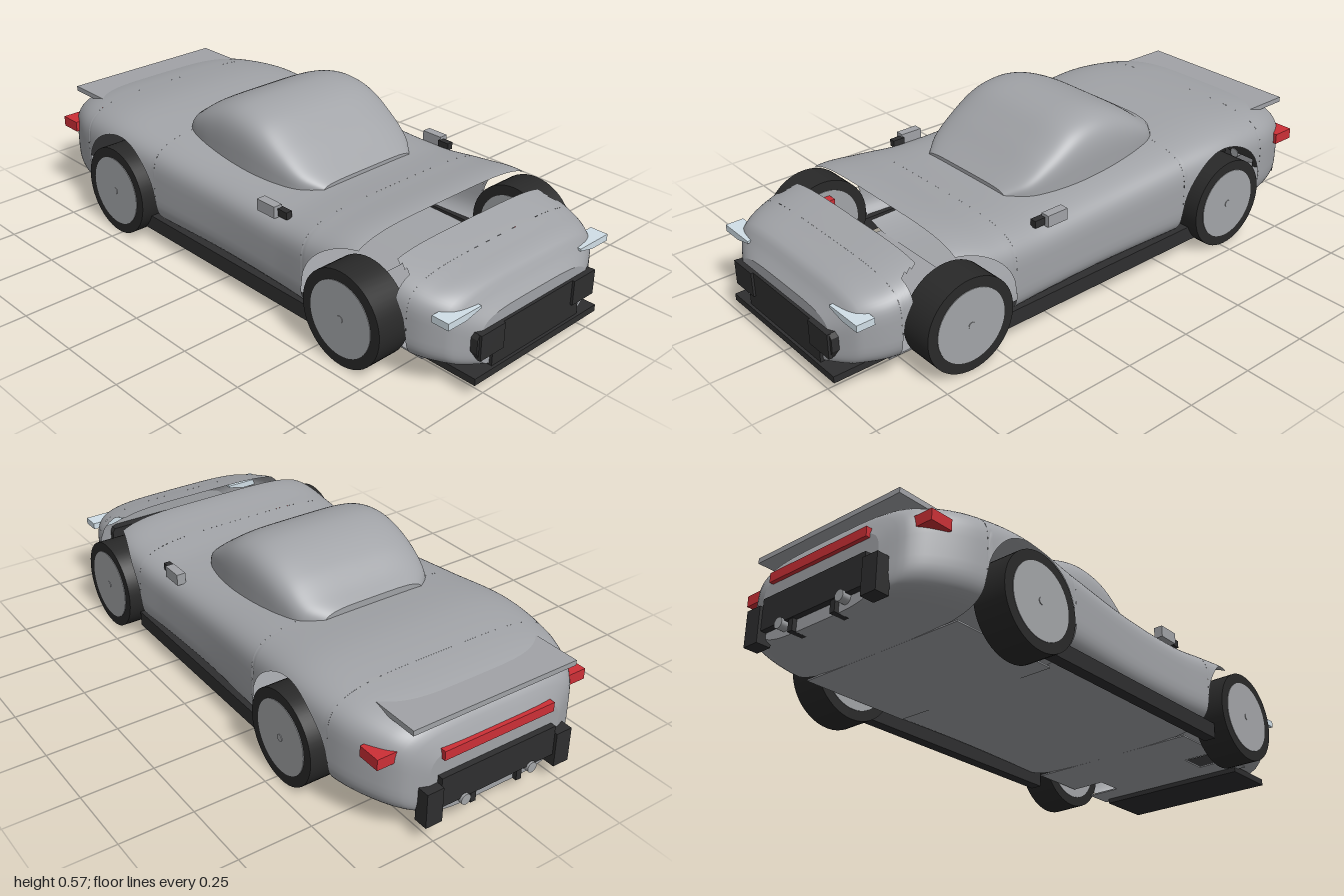
import * as THREE from 'three';

const mat = (name, color, side = THREE.FrontSide) => {
  const m = new THREE.MeshStandardMaterial({ color, side });
  m.name = name;
  return m;
};

// Smooth interpolation through rows of [x, ...values]
function profile(rows) {
  const slope = (i, k) => {
    const a = rows[Math.max(i - 1, 0)], b = rows[Math.min(i + 1, rows.length - 1)];
    return (b[k] - a[k]) / (b[0] - a[0]);
  };
  return (x, k) => {
    let i = 0;
    while (i < rows.length - 2 && x > rows[i + 1][0]) i++;
    const p = rows[i], q = rows[i + 1], d = q[0] - p[0];
    const t = Math.min(Math.max((x - p[0]) / d, 0), 1), t2 = t * t, t3 = t2 * t;
    return p[k] * (2 * t3 - 3 * t2 + 1) + q[k] * (3 * t2 - 2 * t3)
      + d * (slope(i, k) * (t3 - 2 * t2 + t) + slope(i + 1, k) * (t3 - t2));
  };
}

// Rounded-box sections along x; everything below floor(x) is cut away and left open
function loft({ xs, width, top, base, n, floor, skip = () => false }) {
  const N = 44, M = 28, R = N + M, pos = [], idx = [];
  const rings = xs.map((x) => {
    const w = width(x), cy = (top(x) + base(x)) / 2, h = (top(x) - base(x)) / 2;
    const pow = (v) => Math.sign(v) * Math.abs(v) ** (2 / n);
    const rel = THREE.MathUtils.clamp((floor(x) - cy) / h, -1, 1);
    const open = floor(x) > base(x);
    const a0 = open ? Math.sign(rel) * Math.asin(Math.abs(rel) ** (n / 2)) : -0.3;
    const points = Array.from({ length: R }, (_, j) => {
      const a = j <= N ? a0 + (Math.PI - 2 * a0) * j / N
        : Math.PI - a0 + (Math.PI + 2 * a0) * (j - N) / M;
      return [x, cy + h * pow(Math.sin(a)), w * pow(Math.cos(a))];
    });
    return { open, points };
  });
  rings.forEach((r) => r.points.forEach((p) => pos.push(...p)));
  for (let i = 0; i < rings.length - 1; i++) {
    if (xs[i + 1] - xs[i] < 1e-3) continue;
    const sides = rings[i].open || rings[i + 1].open ? N : R;
    for (let j = 0; j < sides; j++) {
      const k = (j + 1) % R, p = rings[i].points[j], q = rings[i].points[k];
      if (skip((xs[i] + xs[i + 1]) / 2, p[1], (p[2] + q[2]) / 2)) continue;
      const a = i * R + j, d = i * R + k, b = a + R, c = d + R;
      idx.push(a, b, c, a, c, d);
    }
  }
  // End caps with their own vertices, so the rim stays crisp
  [0, rings.length - 1].forEach((i) => {
    const c = pos.length / 3, { open, points } = rings[i];
    const rim = open ? points.slice(0, N + 1) : points;
    pos.push(xs[i], (top(xs[i]) + Math.max(base(xs[i]), floor(xs[i]))) / 2, 0);
    rim.forEach((p) => pos.push(...p));
    rim.forEach((_, j) => {
      const a = c + 1 + j, b = c + 1 + (j + 1) % rim.length;
      if (i === 0) idx.push(c, a, b); else idx.push(c, b, a);
    });
  });
  const g = new THREE.BufferGeometry();
  g.setAttribute('position', new THREE.Float32BufferAttribute(pos, 3));
  g.setIndex(idx);
  g.computeVertexNormals();
  return g;
}

const range = (a, b, step) => {
  const count = Math.round((b - a) / step);
  return Array.from({ length: count + 1 }, (_, i) => a + (b - a) * i / count);
};

const polygon = (points) => new THREE.Shape(points.map((p) => new THREE.Vector2(...p)));

export function createModel() {
  const paint = mat('body grey', 0xa1a3a7, THREE.DoubleSide);
  const rimGrey = mat('rim grey', 0xa3a5a8);
  const trim = mat('dark trim', 0x2e2e2f);
  const rubber = mat('tyre rubber', 0x292929);
  const red = mat('brake and tail light red', 0xcc2f36);
  const lens = mat('headlight glass', 0xd2e0e8);
  const car = new THREE.Group();

  const add = (name, geo, material, parent = car) => {
    const m = new THREE.Mesh(geo, material);
    m.name = name;
    parent.add(m);
    return m;
  };
  // Box given by its min and max on each axis
  const box = (name, material, x0, x1, y0, y1, z0, z1) => {
    const m = add(name, new THREE.BoxGeometry(x1 - x0, y1 - y0, z1 - z0), material);
    m.position.set((x0 + x1) / 2, (y0 + y1) / 2, (z0 + z1) / 2);
  };
  const pair = (name, material, x0, x1, y0, y1, z0, z1) => {
    box(name + 'Right', material, x0, x1, y0, y1, z0, z1);
    box(name + 'Left', material, x0, x1, y0, y1, -z1, -z0);
  };

  // Hollow body shell cut by the wheel arches: x, half width, top
  const shape = profile([
    [-0.97, 0.25, 0.29], [-0.94, 0.32, 0.35], [-0.87, 0.375, 0.385], [-0.75, 0.42, 0.41],
    [-0.55, 0.441, 0.425], [-0.3, 0.427, 0.405], [0, 0.413, 0.38], [0.28, 0.418, 0.37],
    [0.45, 0.43, 0.385], [0.6, 0.43, 0.398], [0.72, 0.408, 0.372], [0.85, 0.382, 0.338],
    [0.93, 0.335, 0.31], [0.955, 0.297, 0.272], [0.98, 0.25, 0.24],
  ]);
  const axles = [-0.52, 0.62], arch = 0.2, axleY = 0.16;
  const archFloor = (x) => {
    const c = axles.find((a) => Math.abs(x - a) <= arch + 1e-6);
    return c === undefined ? 0 : axleY + Math.sqrt(Math.max(arch ** 2 - (x - c) ** 2, 0));
  };
  const xs = range(-0.97, 0.98, 0.01);
  axles.forEach((a) => xs.push(a - arch - 2e-4, a + arch + 2e-4));
  xs.sort((a, b) => a - b);
  // Gap across the bonnet, widening over the front tyres
  const gap = (x, y, z) => y > 0.25 && x > 0.62 && (x < 0.72 || (x < 0.78 && Math.abs(z) > 0.33));
  add('body', loft({
    xs, width: (x) => shape(x, 1), top: (x) => shape(x, 2), base: () => 0.06, n: 4.2,
    floor: archFloor, skip: gap,
  }), paint);

  // Floor between the wheels, open beside the front axle
  box('rearFloor', paint, -0.725, -0.315, 0.06, 0.065, -0.32, 0.32);
  box('frontFloor', paint, 0.415, 0.62, 0.06, 0.065, -0.32, 0.32);
  box('axleFloor', paint, 0.62, 0.72, 0.06, 0.065, -0.19, 0.19);
  box('noseFloor', paint, 0.72, 0.825, 0.06, 0.065, -0.32, 0.32);

  // Canopy: x, half width, top
  const dome = profile([
    [-0.38, 0.2, 0.435], [-0.33, 0.25, 0.462], [-0.25, 0.274, 0.515], [-0.15, 0.286, 0.558],
    [-0.06, 0.29, 0.57], [0.04, 0.288, 0.548], [0.14, 0.275, 0.485], [0.22, 0.25, 0.425], [0.28, 0.2, 0.383],
  ]);
  add('canopy', loft({
    xs: range(-0.38, 0.28, 0.015), width: (x) => dome(x, 1), top: (x) => dome(x, 2),
    base: (x) => 0.7 - dome(x, 2), n: 4.8, floor: () => 0.352,
  }), paint);

  // Wheels with brake calipers on the inner side
  axles.forEach((x) => {
    const end = x > 0 ? 'front' : 'rear';
    [1, -1].forEach((s) => {
      const wheel = new THREE.Group();
      wheel.name = end + 'Wheel' + (s > 0 ? 'Right' : 'Left');
      wheel.position.set(x, axleY, s * 0.395);
      const cyl = (name, r, len, material) => add(name,
        new THREE.CylinderGeometry(r, r, len, 48).rotateX(Math.PI / 2), material, wheel);
      cyl('tyre', 0.16, 0.12, rubber);
      cyl('rim', 0.125, 0.124, rimGrey);
      cyl('hub', 0.012, 0.128, rimGrey);
      car.add(wheel);
    });
    pair(end + 'Caliper', red, x - 0.02, x + 0.04, 0.2, 0.265, 0.3, 0.334);
  });

  // Dark lower trim
  pair('sill', trim, -0.41, 0.47, 0.045, 0.1, 0.37, 0.412);
  box('frontSplitter', trim, 0.8, 1, 0.043, 0.066, -0.29, 0.29);
  const mouth = polygon([
    [-0.205, 0.065], [0.205, 0.065], [0.205, 0.11], [0.26, 0.11], [0.278, 0.14], [0.278, 0.185], [0.268, 0.2],
    [-0.268, 0.2], [-0.278, 0.185], [-0.278, 0.14], [-0.26, 0.11], [-0.205, 0.11],
  ]);
  const grille = add('grille', new THREE.ExtrudeGeometry(mouth, { depth: 0.045, bevelEnabled: false }), trim);
  grille.rotation.y = Math.PI / 2;
  grille.position.x = 0.945;
  pair('grilleIntake', trim, 0.985, 0.998, 0.115, 0.2, 0.165, 0.27);
  box('rearBumper', trim, -0.99, -0.95, 0.1, 0.205, -0.22, 0.22);
  pair('rearBumperEnd', trim, -1, -0.95, 0.06, 0.18, 0.22, 0.28);
  pair('diffuserFin', trim, -0.985, -0.93, 0.06, 0.12, 0.08, 0.1);
  [-0.13, 0.13].forEach((z) => {
    const pipe = add('exhaust', new THREE.CylinderGeometry(0.018, 0.018, 0.05, 20).rotateZ(Math.PI / 2), rimGrey);
    pipe.position.set(-0.973, 0.095, z);
  });

  // Lights
  const lampShape = polygon([[0.235, 0.262], [0.3, 0.247], [0.375, 0.247], [0.375, 0.27], [0.235, 0.27]]);
  const lampGeo = new THREE.ExtrudeGeometry(lampShape, { depth: 0.062, bevelEnabled: false });
  add('headlightLeft', lampGeo.clone().rotateY(Math.PI / 2), lens).position.x = 0.9;
  add('headlightRight', lampGeo.clone().rotateY(-Math.PI / 2), lens).position.x = 0.962;
  box('tailLightBar', red, -0.984, -0.95, 0.26, 0.292, -0.21, 0.21);
  pair('tailLight', red, -0.92, -0.84, 0.268, 0.305, 0.31, 0.4);

  // Spoiler and mirrors
  box('spoiler', paint, -0.96, -0.64, 0.372, 0.39, -0.31, 0.31);
  pair('mirror', paint, 0.19, 0.27, 0.335, 0.375, 0.368, 0.4);
  pair('mirrorStalk', trim, 0.265, 0.31, 0.34, 0.365, 0.362, 0.385);

  return car;
}
